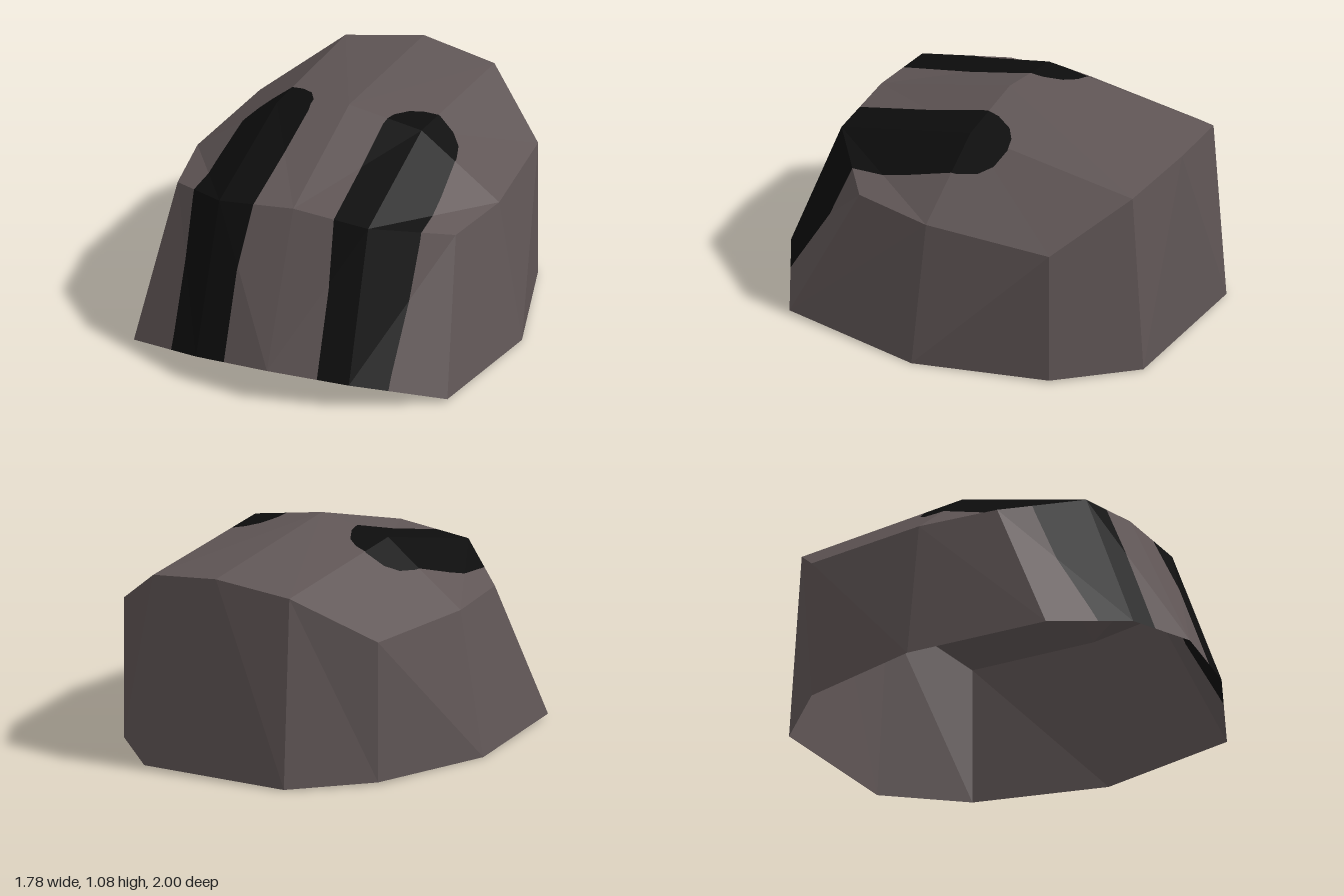
import * as THREE from 'three';

// Half of the shell (x >= 0): top rows front to back, each from the ridge outwards
const top = [
  [[0, 0.865, 0.665], [0.38, 0.83, 0.66], [0.71, 0.72, 0.37]],
  [[0, 1.075, -0.04], [0.37, 1.01, -0.04], [0.77, 0.71, -0.03]],
  [[0, 0.98, -0.985], [0.38, 0.93, -0.935], [0.71, 0.7, -0.67]],
];
// Open lower rim, from front centre round to back centre
const rim = [
  [0, 0.16, 1], [0.39, 0.125, 0.93], [0.8, 0.02, 0.7], [0.89, 0, -0.02],
  [0.71, 0.01, -0.67], [0.39, 0.005, -1], [0, 0.005, -1],
];
// Stripe outline seen from above as two convex (x, z) pieces: lower front and rounded top
const stripePieces = [
  [[0.24, 1.1], [0.235, 0.8], [0.555, 0.8], [0.55, 1.1]],
  [[0.235, 0.8], [0.205, 0.66], [0.19, 0], [0.205, -0.1], [0.25, -0.185], [0.31, -0.23], [0.38, -0.25],
    [0.46, -0.22], [0.51, -0.16], [0.54, -0.06], [0.565, 0.2], [0.58, 0.47], [0.58, 0.5], [0.555, 0.8]],
];

// Cut a polygon by the vertical plane through a and b; returns [left part, right part]
function split(poly, a, b) {
  const dist = (p) => (b[0] - a[0]) * (p[2] - a[1]) - (b[1] - a[1]) * (p[0] - a[0]);
  const left = [], right = [];
  poly.forEach((p, i) => {
    const q = poly[(i + 1) % poly.length];
    const dp = dist(p), dq = dist(q);
    if (dp >= 0) left.push(p);
    if (dp <= 0) right.push(p);
    if (dp * dq < 0) {
      const t = dp / (dp - dq);
      const m = p.map((v, k) => v + (q[k] - v) * t);
      left.push(m);
      right.push(m);
    }
  });
  return [left, right];
}

// Separate a list of polygons into those inside and outside a convex outline
function cut(polys, outline) {
  const outside = [];
  let inside = polys;
  outline.forEach((a, i) => {
    const b = outline[(i + 1) % outline.length];
    const next = [];
    for (const poly of inside) {
      const [l, r] = split(poly, a, b);
      if (l.length > 2) next.push(l);
      if (r.length > 2) outside.push(r);
    }
    inside = next;
  });
  return [inside, outside];
}

// Flat-faced geometry from polygons, mirrored across x
function mirroredGeometry(polys) {
  const pos = [];
  const flip = (p) => [-p[0], p[1], p[2]];
  for (const poly of polys) {
    for (let i = 1; i < poly.length - 1; i++) {
      const [a, b, c] = [poly[0], poly[i], poly[i + 1]];
      pos.push(...a, ...b, ...c, ...flip(a), ...flip(c), ...flip(b));
    }
  }
  const geo = new THREE.BufferGeometry();
  geo.setAttribute('position', new THREE.Float32BufferAttribute(pos, 3));
  geo.computeVertexNormals();
  return geo;
}

export function createModel() {
  const group = new THREE.Group();
  group.name = 'facetedShell';

  const tris = [];
  const quad = (a, b, c, d) => tris.push([a, b, c], [a, c, d]);

  // Domed top
  for (let r = 0; r < 2; r++) {
    for (let c = 0; c < 2; c++) quad(top[r][c], top[r][c + 1], top[r + 1][c + 1], top[r + 1][c]);
  }
  // Walls between the edge of the top and the rim
  const edge = [...top[0], top[1][2], ...[...top[2]].reverse()];
  for (let i = 0; i < rim.length - 1; i++) quad(rim[i], rim[i + 1], edge[i + 1], edge[i]);

  // Divide the surface into stripes and plain shell
  let plain = tris;
  const striped = [];
  for (const outline of stripePieces) {
    const [inside, outside] = cut(plain, outline);
    striped.push(...inside);
    plain = outside;
  }

  const shellMat = new THREE.MeshStandardMaterial({ color: 0x605656, side: THREE.DoubleSide });
  shellMat.name = 'warmGrey';
  const stripeMat = new THREE.MeshStandardMaterial({ color: 0x0d0d0d, side: THREE.DoubleSide });
  stripeMat.name = 'black';

  const shell = new THREE.Mesh(mirroredGeometry(plain), shellMat);
  shell.name = 'shell';
  const stripes = new THREE.Mesh(mirroredGeometry(striped), stripeMat);
  stripes.name = 'stripes';
  group.add(shell, stripes);
  return group;
}
